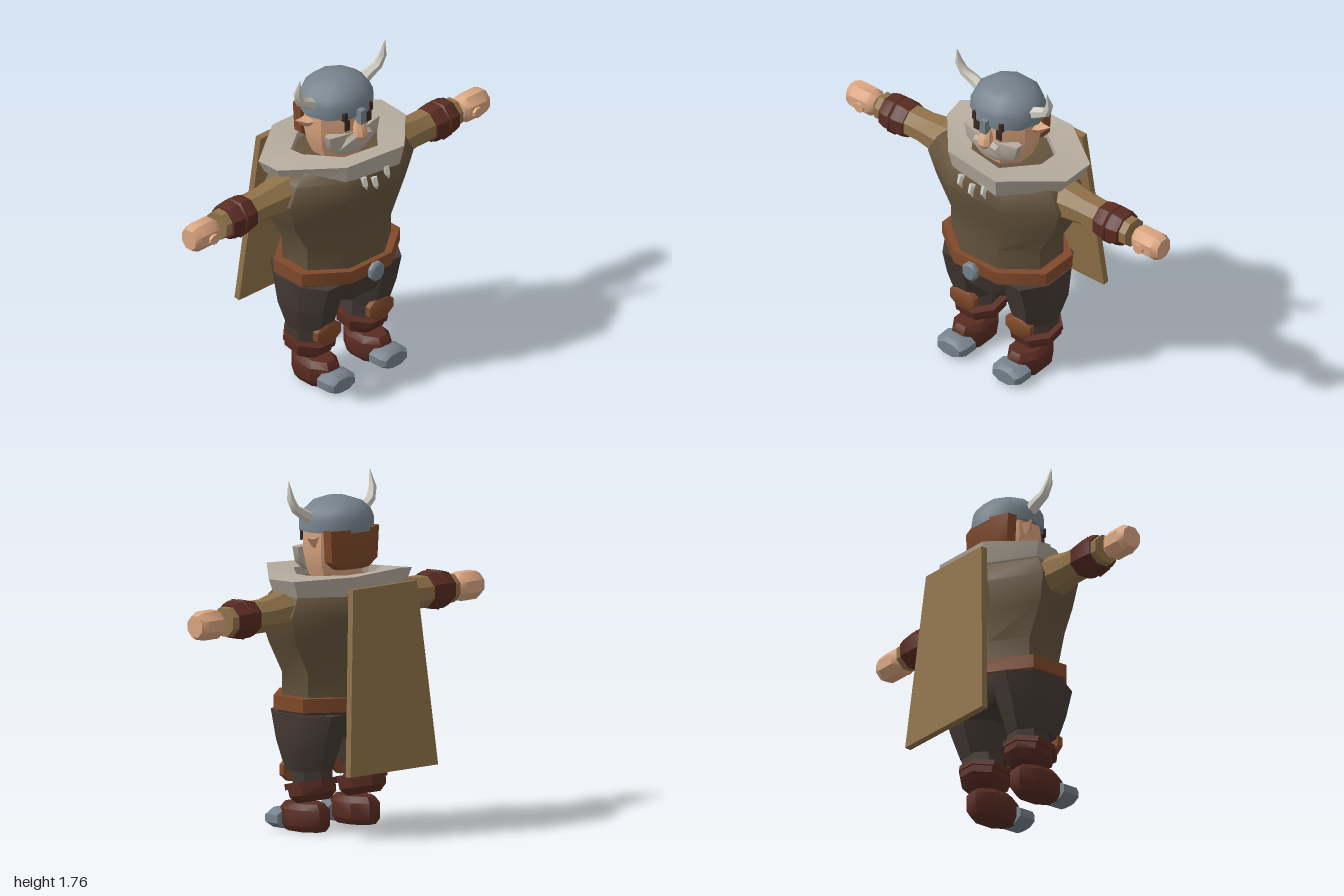
import * as THREE from 'three';
import { toCreasedNormals } from 'three/addons/utils/BufferGeometryUtils.js';

const paint = (name, color) => {
  const m = new THREE.MeshStandardMaterial({ color });
  m.name = name;
  return m;
};
const V = (x, y, z) => new THREE.Vector3(x, y, z);

// Skin a stack of equal-length rings; caps close both ends
function skin(rings, caps = true) {
  const out = [], n = rings[0].length;
  const tri = (...p) => p.forEach(v => out.push(v.x, v.y, v.z));
  for (let r = 0; r + 1 < rings.length; r++)
    for (let i = 0; i < n; i++) {
      const j = (i + 1) % n, A = rings[r], B = rings[r + 1];
      tri(A[i], A[j], B[j]);
      tri(A[i], B[j], B[i]);
    }
  if (caps) {
    const A = rings[0], B = rings[rings.length - 1];
    for (let i = 1; i + 1 < n; i++) {
      tri(A[0], A[i + 1], A[i]);
      tri(B[0], B[i], B[i + 1]);
    }
  }
  const g = new THREE.BufferGeometry();
  g.setAttribute('position', new THREE.Float32BufferAttribute(out, 3));
  return g;
}

// Flat-sided loft; sections are [t, centreA, centreB, halfA, halfB]
// axis y: A = x, B = z; axis x: A = y, B = z; axis z: A = x, B = y
function loft(axis, sections, n = 8) {
  return skin(sections.map(([t, ca, cb, ra, rb]) => Array.from({ length: n }, (_, i) => {
    const w = (i + 0.5) / n * Math.PI * 2, k = 1 / Math.cos(Math.PI / n);
    const c = Math.cos(w) * k, s = Math.sin(w) * k;
    if (axis === 'y') return V(ca + ra * s, t, cb + rb * c);
    if (axis === 'x') return V(t, ca + ra * c, cb + rb * s);
    return V(ca + ra * c, cb + rb * s, t);
  })));
}

// Tapered tube through points [x, y, z, radius]
function taper(pts, n = 6) {
  const p = pts.map(q => V(q[0], q[1], q[2]));
  return skin(p.map((c, i) => {
    const t = p[Math.min(i + 1, p.length - 1)].clone().sub(p[Math.max(i - 1, 0)]).normalize();
    const u = V(0, 0, 1).cross(t).normalize(), w = t.clone().cross(u);
    return Array.from({ length: n }, (_, k) => {
      const a = k / n * Math.PI * 2;
      return c.clone().addScaledVector(u, Math.cos(a) * pts[i][3]).addScaledVector(w, Math.sin(a) * pts[i][3]);
    });
  }));
}

// Flip a part to the other side and restore the facing
function mirrored(geo) {
  const g = (geo.index ? geo.toNonIndexed() : geo.clone()).scale(-1, 1, 1), p = g.attributes.position;
  for (let i = 0; i < p.count; i += 3) {
    const a = V().fromBufferAttribute(p, i + 1), b = V().fromBufferAttribute(p, i + 2);
    p.setXYZ(i + 1, b.x, b.y, b.z);
    p.setXYZ(i + 2, a.x, a.y, a.z);
  }
  return g;
}

export function createModel() {
  const tunic = paint('tunic brown', 0x65543d), tan = paint('tan cloth', 0x8f7249);
  const trousers = paint('dark trousers', 0x453a34), leather = paint('leather', 0x80492a);
  const oxblood = paint('dark red leather', 0x592c22), skinTone = paint('skin', 0xdba580);
  const steel = paint('steel', 0x76828c), fur = paint('grey fur', 0xb5ab9e);
  const bone = paint('bone', 0xcfccc0), dark = paint('dark eye', 0x3a2a22);
  const model = new THREE.Group();
  model.name = 'hornedWarrior';

  const add = (name, geo, mat, crease = 0.7) => {
    const mesh = new THREE.Mesh(toCreasedNormals(geo, crease), mat);
    mesh.name = name;
    model.add(mesh);
  };
  const pair = (name, geo, mat) => {
    add(name + 'Left', geo, mat);
    add(name + 'Right', mirrored(geo), mat);
  };
  const box = (w, h, d, x, y, z) => new THREE.BoxGeometry(w, h, d).translate(x, y, z);

  // Body and belt
  add('torso', loft('y', [[0.63, 0, 0.05, 0.285, 0.22], [0.8, 0, 0.05, 0.285, 0.22], [0.96, 0, 0.05, 0.375, 0.23],
    [1.1, 0, 0.05, 0.42, 0.265], [1.2, 0, 0.05, 0.37, 0.245], [1.25, 0, 0.05, 0.3, 0.2]]), tunic);
  add('belt', loft('y', [[0.615, 0, 0.05, 0.333, 0.25], [0.685, 0, 0.05, 0.333, 0.25]]), leather);
  add('buckle', loft('z', [[0.325, 0, 0.65, 0.045, 0.05], [0.345, 0, 0.65, 0.045, 0.05], [0.355, 0, 0.65, 0.035, 0.04]]), steel);
  add('hips', loft('y', [[0.48, 0, 0.045, 0.2, 0.2], [0.56, 0, 0.045, 0.3, 0.22], [0.63, 0, 0.05, 0.32, 0.235]]), trousers);

  // Legs, knee pads and boots
  pair('thigh', loft('y', [[0.31, 0.19, 0.05, 0.1, 0.125], [0.45, 0.195, 0.045, 0.135, 0.17],
    [0.6, 0.19, 0.045, 0.14, 0.21]]), trousers);
  pair('calf', loft('y', [[0.2, 0.177, 0.03, 0.1, 0.1], [0.32, 0.185, 0.03, 0.1, 0.1]]), trousers);
  pair('kneePad', loft('z', [[0.155, 0.178, 0.3, 0.08, 0.06], [0.185, 0.178, 0.3, 0.08, 0.06],
    [0.197, 0.178, 0.3, 0.06, 0.045]]), leather);
  pair('bootBand', loft('y', [[-0.015, 0, 0, 0.133, 0.128], [0.015, 0, 0, 0.133, 0.128]])
    .rotateX(0.2).translate(0.177, 0.236, 0.045), oxblood);
  pair('bootCuff', loft('y', [[-0.075, 0, 0, 0.085, 0.08], [-0.04, 0, 0, 0.118, 0.115], [0, 0, 0, 0.12, 0.118]])
    .rotateX(0.2).translate(0.177, 0.225, 0.04), oxblood);
  pair('boot', loft('y', [[0, 0.177, 0.085, 0.07, 0.115], [0.03, 0.177, 0.085, 0.09, 0.135],
    [0.11, 0.177, 0.085, 0.09, 0.135], [0.14, 0.177, 0.085, 0.065, 0.11]]), oxblood);
  pair('toeCap', loft('z', [[0.19, 0.177, 0.05, 0.09, 0.05], [0.27, 0.177, 0.05, 0.088, 0.05],
    [0.295, 0.177, 0.048, 0.07, 0.036]]), steel);

  // Arms and hands
  pair('sleeve', loft('x', [[0.32, 1.12, 0.045, 0.1, 0.1], [0.42, 1.12, 0.045, 0.093, 0.093], [0.52, 1.115, 0.04, 0.078, 0.08],
    [0.64, 1.115, 0.04, 0.078, 0.08], [0.805, 1.112, 0.04, 0.07, 0.07]]), tan);
  pair('armGuard', loft('x', [[0.61, 1.115, 0.045, 0.082, 0.084], [0.65, 1.115, 0.045, 0.092, 0.094],
    [0.725, 1.115, 0.045, 0.092, 0.094], [0.765, 1.115, 0.045, 0.08, 0.082]]), oxblood);
  pair('armRing', new THREE.TorusGeometry(0.096, 0.01, 5, 8).rotateZ(Math.PI / 8)
    .rotateY(Math.PI / 2).translate(0.69, 1.115, 0.05), oxblood);
  pair('hand', loft('x', [[0.83, 1.11, 0.045, 0.05, 0.045], [0.86, 1.11, 0.045, 0.07, 0.065],
    [0.965, 1.11, 0.045, 0.07, 0.065], [1, 1.11, 0.045, 0.053, 0.05]]), skinTone);
  pair('thumb', loft('z', [[0.09, 0.895, 1.103, 0.03, 0.027], [0.125, 0.895, 1.103, 0.028, 0.025]]), skinTone);

  // Uneven fur collar with an open neck
  const rim = [[0.175, 0.355, 1.31], [0.42, 0.1, 1.28], [0.425, -0.08, 1.285], [0.17, -0.25, 1.3],
    [-0.165, -0.24, 1.31], [-0.41, -0.08, 1.27], [-0.395, 0.04, 1.26], [-0.17, 0.305, 1.3]];
  const collarRing = (sx, sz, y) => rim.map(([x, z, h]) => V(x * sx, y ?? h, 0.05 + (z - 0.05) * sz));
  add('collar', skin([collarRing(0.58, 0.62, 1.2), collarRing(0.92, 0.93, 1.2), collarRing(1, 1),
    collarRing(0.58, 0.62, 1.29), collarRing(0.58, 0.62, 1.2)], false), fur, 0.4);
  for (const [x, y] of [[-0.07, 1.14], [0, 1.115], [0.08, 1.145]])
    add('toothPendant', taper([[x, y + 0.07, 0.32, 0.018], [x, y + 0.03, 0.335, 0.015], [x + 0.012, y, 0.33, 0.003]], 5), bone);

  // Stiff back cape
  const panel = new THREE.Shape([[-0.31, -0.463], [0.31, -0.463], [0.225, 0.463], [-0.225, 0.463]]
    .map(p => new THREE.Vector2(...p)));
  add('cape', new THREE.ExtrudeGeometry(panel, { depth: 0.034, bevelEnabled: false })
    .translate(0, 0, -0.017).rotateX(0.07).translate(0, 0.783, -0.31), tan);

  // Head, face and hair
  add('head', loft('y', [[1.22, 0, 0.05, 0.11, 0.11], [1.32, 0, 0.05, 0.15, 0.135], [1.4, 0, 0.05, 0.165, 0.15],
    [1.52, 0, 0.05, 0.165, 0.15]]), skinTone);
  add('hair', loft('y', [[1.31, 0, -0.06, 0.11, 0.045], [1.35, 0, -0.06, 0.16, 0.062], [1.51, 0, -0.06, 0.17, 0.065]]), leather);
  add('beard', loft('y', [[1.29, 0, 0.155, 0.1, 0.045], [1.33, 0, 0.16, 0.152, 0.052], [1.41, 0, 0.162, 0.17, 0.045]]), fur);
  pair('moustache', taper([[0, 1.385, 0.21, 0.028], [0.06, 1.37, 0.208, 0.028], [0.11, 1.325, 0.185, 0.01]]), fur);
  add('nose', loft('y', [[1.365, 0, 0.225, 0.018, 0.018], [1.39, 0, 0.222, 0.037, 0.034],
    [1.43, 0, 0.215, 0.032, 0.032], [1.47, 0, 0.2, 0.018, 0.018]]), skinTone);
  pair('eye', box(0.032, 0.055, 0.008, 0.072, 1.458, 0.203), dark);
  pair('brow', box(0.02, 0.045, 0.03, 0.085, 1.51, 0.195), dark);
  pair('ear', skin([[V(0.15, 1.41, 0.03), V(0.15, 1.48, 0), V(0.15, 1.46, 0.075)],
    [V(0.195, 1.425, 0.02), V(0.2, 1.468, 0), V(0.195, 1.455, 0.045)],
    [V(0.24, 1.472, 0.008), V(0.241, 1.474, 0.006), V(0.24, 1.473, 0.01)]]), skinTone);

  // Horned helmet
  add('helmet', loft('y', [[1.495, 0, 0.042, 0.186, 0.172], [1.56, 0, 0.042, 0.184, 0.17], [1.595, 0, 0.042, 0.168, 0.155],
    [1.635, 0, 0.042, 0.125, 0.118], [1.66, 0, 0.042, 0.05, 0.048]], 10), steel, 0.9);
  add('noseGuard', box(0.036, 0.075, 0.05, 0, 1.497, 0.22), steel);
  pair('horn', taper([[0.15, 1.55, 0.055, 0.034], [0.21, 1.583, 0.055, 0.03], [0.265, 1.615, 0.065, 0.025],
    [0.29, 1.67, 0.075, 0.02], [0.288, 1.755, 0.092, 0.002]]), bone);

  return model;
}
